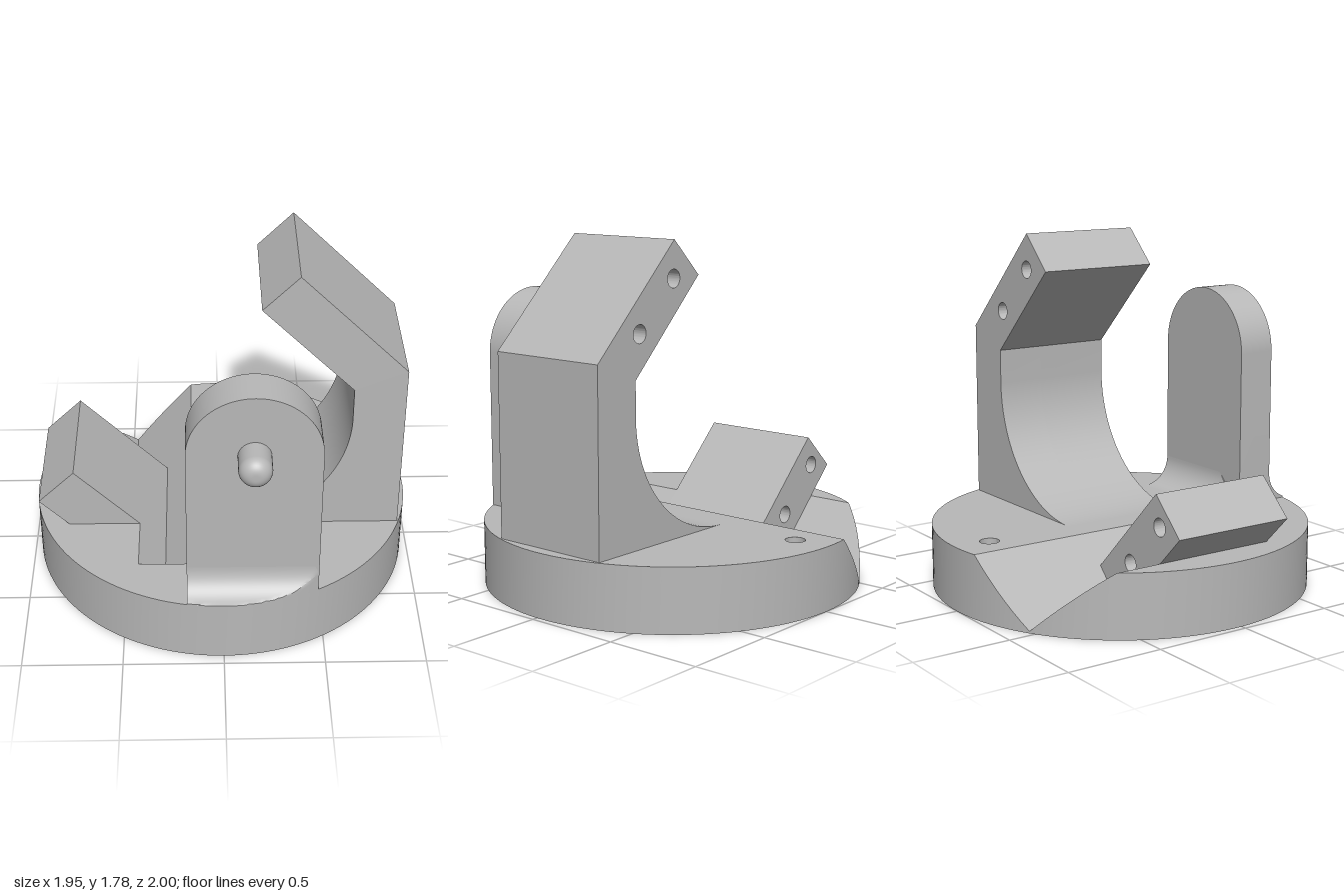
import * as THREE from 'three';
import { toCreasedNormals } from 'three/addons/utils/BufferGeometryUtils.js';

const TOP = 0.325, R = 0.973, CZ = -0.027;            // base disc
const POCKET = 0.22;                                   // pocket depth in the underside
const G0 = -0.79, GM = -0.475, G1 = -0.16, GEND = 0.625; // groove: left edge, bottom, right edge, front end
const grooveY = (x) => 0.01 + Math.abs(x - GM);
const V = (x, y) => new THREE.Vector2(x, y);

export function createModel() {
  const group = new THREE.Group();
  const grey = new THREE.MeshStandardMaterial({ color: 0xb8b8b8 });
  grey.name = 'plain grey';

  const add = (name, geometry, parent = group) => {
    const mesh = new THREE.Mesh(geometry, grey);
    mesh.name = name;
    parent.add(mesh);
    return mesh;
  };

  // Flat or sloped face from an (x, z) outline, height set by a rule
  const face = (points, height, up = true, hole = null) => {
    const turn = (list) => list.map((p) => V(p.x, up ? -p.y : p.y));
    const shape = new THREE.Shape(turn(points));
    if (hole) shape.holes.push(new THREE.Path(turn(hole)));
    const g = new THREE.ShapeGeometry(shape).rotateX(up ? -Math.PI / 2 : Math.PI / 2);
    const p = g.attributes.position;
    for (let i = 0; i < p.count; i++) p.setY(i, height(p.getX(i)));
    g.computeVertexNormals();
    return g;
  };

  // Upright wall along an (x, z) path
  const wall = (points, bottom, height) => {
    const pos = [], index = [];
    points.forEach((p, i) => {
      pos.push(p.x, bottom, p.y, p.x, height(p), p.y);
      const a = i * 2;
      if (i) index.push(a - 2, a - 1, a, a, a - 1, a + 1);
    });
    const g = new THREE.BufferGeometry();
    g.setAttribute('position', new THREE.Float32BufferAttribute(pos, 3));
    g.setIndex(index);
    return toCreasedNormals(g, 0.6);
  };

  const extrude = (shape, depth, steps = 1) =>
    new THREE.ExtrudeGeometry(shape, { depth, steps, bevelEnabled: false, curveSegments: 40 });

  // ---- Base disc with a V groove, a keyhole pocket and a small through hole
  const base = new THREE.Group();
  base.name = 'base';
  group.add(base);

  const angleAt = (x) => 2 * Math.PI - Math.acos(x / R);
  const start = angleAt(G1), aLeft = angleAt(G0) + 2 * Math.PI, aMid = angleAt(GM) + 2 * Math.PI;
  const angles = [aLeft, aMid];
  for (let i = 0; i <= 128; i++) angles.push(start + (i / 128) * 2 * Math.PI);
  angles.sort((a, b) => a - b);
  const arc = (from, to) => angles.filter((a) => a >= from - 1e-9 && a <= to + 1e-9)
    .map((a) => V(R * Math.cos(a), CZ + R * Math.sin(a)));
  const end = start + 2 * Math.PI;
  const rim = arc(start, end);

  const circle = (x, z, r, n = 32) => Array.from({ length: n + 1 }, (_, i) =>
    V(x + r * Math.cos((i / n) * 2 * Math.PI), z + r * Math.sin((i / n) * 2 * Math.PI)));
  const pinHole = circle(0, -0.81, 0.05);

  // Keyhole: round pocket blended into a slot that runs to the small hole
  const pr = 0.245, sr = 0.095, fr = 0.12, fx = sr + fr;
  const fz = -Math.sqrt((pr + fr) ** 2 - fx ** 2), phi = Math.atan2(fz, fx);
  const key = new THREE.Path();
  key.absarc(0, CZ, pr, phi, Math.PI - phi, false);
  key.absarc(-fx, CZ + fz, fr, -phi, 0, true);
  key.absarc(0, -0.81, sr, Math.PI, 2 * Math.PI, false);
  key.absarc(fx, CZ + fz, fr, Math.PI, Math.PI + phi, true);
  const keyhole = key.getPoints(24);
  const keyLoop = [...keyhole, keyhole[0]];

  const flat = () => TOP;
  const grooveZ = 0.3, strip0 = -0.425, strip1 = -0.2925;
  add('baseTop', face([...arc(start, aLeft), V(G0, grooveZ), V(strip0, grooveZ),
    V(strip0, GEND), V(G1, GEND)], flat, true, pinHole.slice(0, -1)), base);
  add('grooveLeftFlank', face([...arc(aLeft, aMid), V(GM, grooveZ), V(G0, grooveZ)], grooveY), base);
  add('grooveRightFlank', face([...arc(aMid, end), V(G1, GEND), V(strip1, GEND),
    V(strip1, grooveZ), V(GM, grooveZ)], grooveY), base);
  add('grooveNarrowFlank', face([V(strip0, grooveZ), V(strip1, grooveZ), V(strip1, GEND),
    V(strip0, GEND)], (x) => -0.1 - x), base);
  const endWall = new THREE.ShapeGeometry(new THREE.Shape([V(-strip0, TOP), V(-strip1, 0.1925), V(-G1, TOP)]));
  add('grooveEndWall', endWall.rotateY(Math.PI).translate(0, 0, GEND), base);
  add('baseRim', wall(rim, 0, (p) =>
    (p.y < 0 && p.x > G0 && p.x < G1 ? Math.min(TOP, grooveY(p.x)) : TOP)), base);
  add('baseUnderside', face(rim.slice(0, -1), () => 0, false, keyhole), base);
  add('pocketWall', wall(keyLoop.slice().reverse(), 0, () => POCKET), base);
  add('pocketCeiling', face(keyhole, () => POCKET, false, pinHole.slice(0, -1)), base);
  add('smallHoleWall', wall(pinHole.slice().reverse(), POCKET, flat), base);

  // ---- Clamp bars: back layer carries blind holes, front layer is solid
  const bar = (name, makeShape, holes) => {
    const part = new THREE.Group();
    part.name = name;
    group.add(part);
    const depth = 0.25, drilled = makeShape();
    for (const [x, y] of holes) {
      const h = new THREE.Path();
      h.absarc(x, y, 0.045, 0, 2 * Math.PI, true);
      drilled.holes.push(h);
    }
    add(name + 'Drilled', toCreasedNormals(extrude(drilled, depth).translate(0, 0, -0.35), 0.5), part);
    add(name + 'Solid', toCreasedNormals(extrude(makeShape(), 0.65 - depth).translate(0, 0, -0.35 + depth), 0.5), part);
  };

  bar('curvedArm', () => {
    const s = new THREE.Shape([V(0.91, TOP), V(0.91, 1.25), V(0.37, 1.785), V(0.19, 1.605), V(0.65, 1.145)]);
    s.lineTo(0.65, 0.975);
    s.absarc(0, 0.975, 0.65, 0, -Math.PI / 2, true);
    return s;
  }, [[0.375, 1.6], [0.62, 1.36]]);

  bar('slantedBlock', () => new THREE.Shape([V(-0.94, 0.475), V(GM, 0.01),
    V(strip1, 0.1925), V(-0.755, 0.655)]), [[-0.784, 0.5], [-0.55, 0.267]]);

  // ---- Upright plate with a round top
  const px = 0.1425, py = 1.142, pw = 0.323, back = GEND, front = 0.83;
  const arch = new THREE.Shape([V(px - pw, TOP), V(px + pw, TOP)]);
  arch.lineTo(px + pw, py);
  arch.absarc(px, py, pw, 0, Math.PI, false);
  add('uprightPlate', toCreasedNormals(extrude(arch, front - back).translate(0, 0, back), 0.5));

  // ---- Concave fillets at the foot of the plate
  const fillet = (name, z, dir, steps, rule) => {
    const r = 0.15, pts = [V(z, TOP)];
    for (let i = 0; i <= 16; i++) {
      const t = (i / 16) * Math.PI / 2;
      pts.push(V(z + dir * r * (1 - Math.sin(t)), TOP + r * (1 - Math.cos(t))));
    }
    const g = extrude(new THREE.Shape(pts), 2 * pw, steps).rotateY(-Math.PI / 2).translate(px + pw, 0, 0);
    const p = g.attributes.position;
    for (let i = 0; i < p.count; i++) rule(p, i);
    add(name, toCreasedNormals(g, 0.5));
  };
  // back one is cut along the groove slope, front one is trimmed by the disc edge
  fillet('backFillet', back, -1, 1, (p, i) => {
    if (p.getX(i) < px) p.setX(i, p.getY(i) - 0.485);
  });
  fillet('frontFillet', front, 1, 32, (p, i) => {
    const edge = CZ + Math.sqrt(R * R - p.getX(i) ** 2);
    p.setZ(i, Math.min(p.getZ(i), edge));
  });

  // ---- Pin with a rounded end
  const pinR = 0.08, round = 0.065, length = 1 - front;
  const profile = [V(pinR, 0)];
  for (let i = 0; i <= 10; i++) {
    const t = (i / 10) * Math.PI / 2;
    profile.push(V(pinR - round + round * Math.cos(t), length - round + round * Math.sin(t)));
  }
  profile.push(V(0, length));
  add('pin', new THREE.LatheGeometry(profile, 40).rotateX(Math.PI / 2).translate(px, py, front));

  return group;
}
